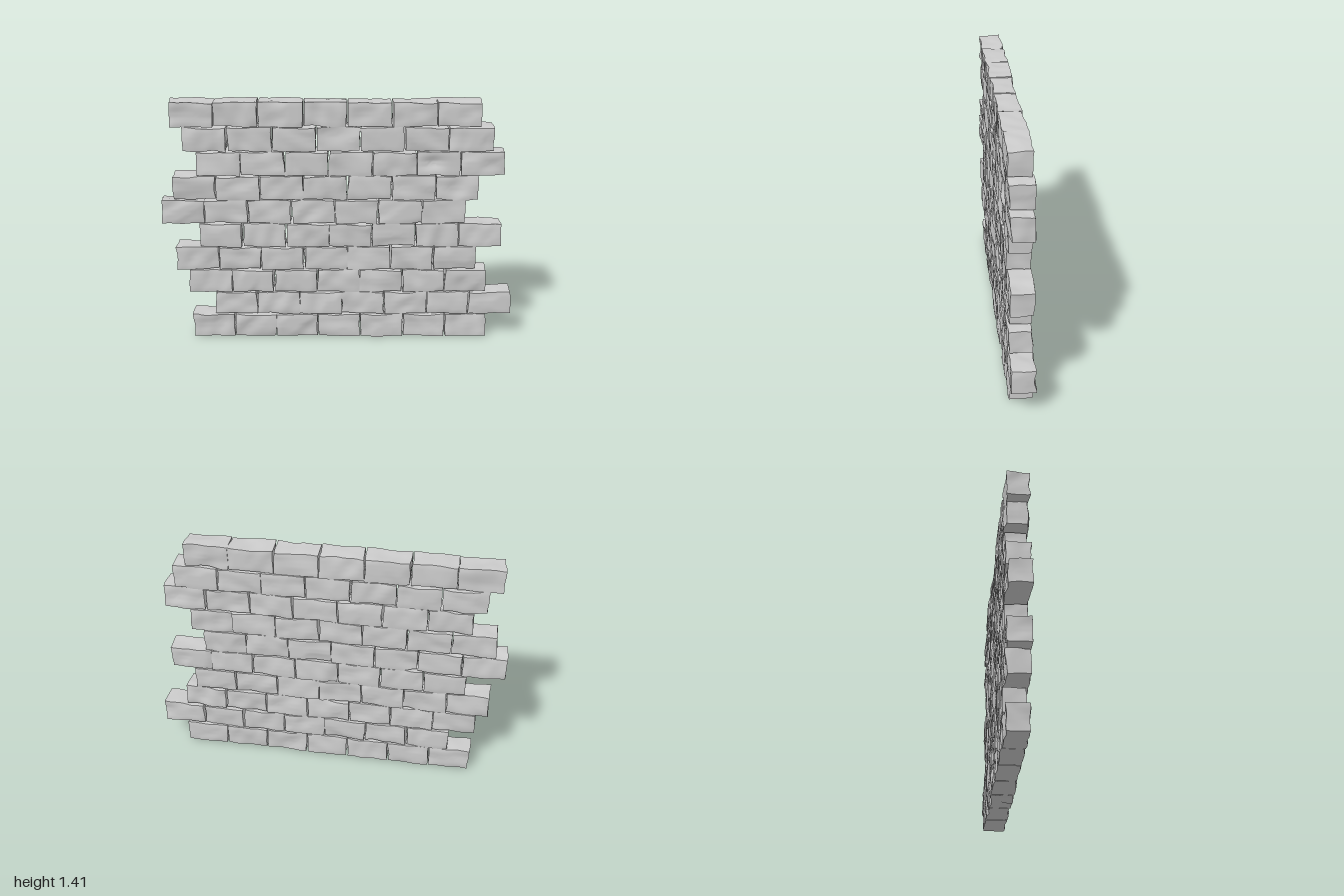
import * as THREE from 'three';
import { mergeVertices, toCreasedNormals } from 'three/addons/utils/BufferGeometryUtils.js';

const BRICK_W = 0.245, BRICK_H = 0.14, BRICK_D = 0.136;
const BASE_Y = 0.008, PER_ROW = 7;
// left end of each course, bottom to top
const ROW_START = [-0.852, -0.715, -0.86, -0.93, -0.79, -1.0, -0.93, -0.79, -0.86, -0.93];

function makeRandom(seed) {
  return () => {
    seed = (seed * 1664525 + 1013904223) % 4294967296;
    return seed / 4294967296;
  };
}

// smooth streaky field over a face, 0 = untouched, 1 = most worn
function makeWear(random) {
  const waves = [];
  for (let i = 0; i < 5; i++) {
    const angle = random() * Math.PI * 2;
    const freq = 14 + 13 * i;
    waves.push([Math.cos(angle) * freq, Math.sin(angle) * freq, random() * 6.28, 1 / (1 + 0.7 * i)]);
  }
  return (u, v) => {
    let sum = 0;
    for (const [a, b, phase, amp] of waves) sum += amp * Math.sin(a * u + b * v + phase);
    return THREE.MathUtils.clamp(0.38 + 0.42 * sum, 0, 1.2);
  };
}

// box whose faces are worn inwards, so it never leaves its slot in the wall
function makeBrick(random, cx, row) {
  let geometry = new THREE.BoxGeometry(BRICK_W, BRICK_H, BRICK_D, 14, 9, 8);
  geometry.deleteAttribute('uv');
  geometry.deleteAttribute('normal');
  geometry = mergeVertices(geometry);
  const wear = Array.from({ length: 6 }, () => makeWear(random));
  const cy = BASE_Y + (row + 0.5) * BRICK_H;
  const pos = geometry.attributes.position;

  for (let i = 0; i < pos.count; i++) {
    const x = pos.getX(i), y = pos.getY(i), z = pos.getZ(i);
    const fx = x / (BRICK_W / 2), fy = y / (BRICK_H / 2), fz = z / (BRICK_D / 2);
    // slight extra rounding along the face border opens the joints
    const rim = Math.max(Math.abs(fx), Math.abs(fy)) > 0.99 ? 0.002 : 0;
    const inX = 0.009 * wear[x > 0 ? 0 : 1](y, z);
    let inY = 0.009 * wear[y > 0 ? 2 : 3](x, z);
    let inZ = 0.013 * wear[z > 0 ? 4 : 5](x, y) + rim;

    // flat underside with one small lip of mortar
    if (row === 0 && fy < 0) {
      inY = Math.abs(cx + x - 0.23) < 0.035 && fy < -0.99 && fz > 0.2 ? -BASE_Y : 0;
    }
    // hollow in one brick of the front face
    const hollow = Math.hypot((cx + x - 0.52) / 0.06, (cy + y - 1.06) / 0.035);
    if (fz > 0) inZ += 0.02 * Math.exp(-hollow * hollow);

    pos.setXYZ(i, x - fx * inX, y - Math.sign(fy) * Math.abs(fy) * inY, z - fz * inZ);
  }
  return toCreasedNormals(geometry, 0.75);
}

export function createModel() {
  const wall = new THREE.Group();
  wall.name = 'brickWall';
  const material = new THREE.MeshStandardMaterial({ color: 0xcccccc });
  const random = makeRandom(71);

  ROW_START.forEach((start, row) => {
    const course = new THREE.Group();
    course.name = `course${row + 1}`;
    for (let i = 0; i < PER_ROW; i++) {
      const cx = start + (i + 0.5) * BRICK_W;
      const brick = new THREE.Mesh(makeBrick(random, cx, row), material);
      brick.name = `brick${i + 1}`;
      brick.position.set(cx, BASE_Y + (row + 0.5) * BRICK_H, 0);
      course.add(brick);
    }
    wall.add(course);
  });
  return wall;
}
